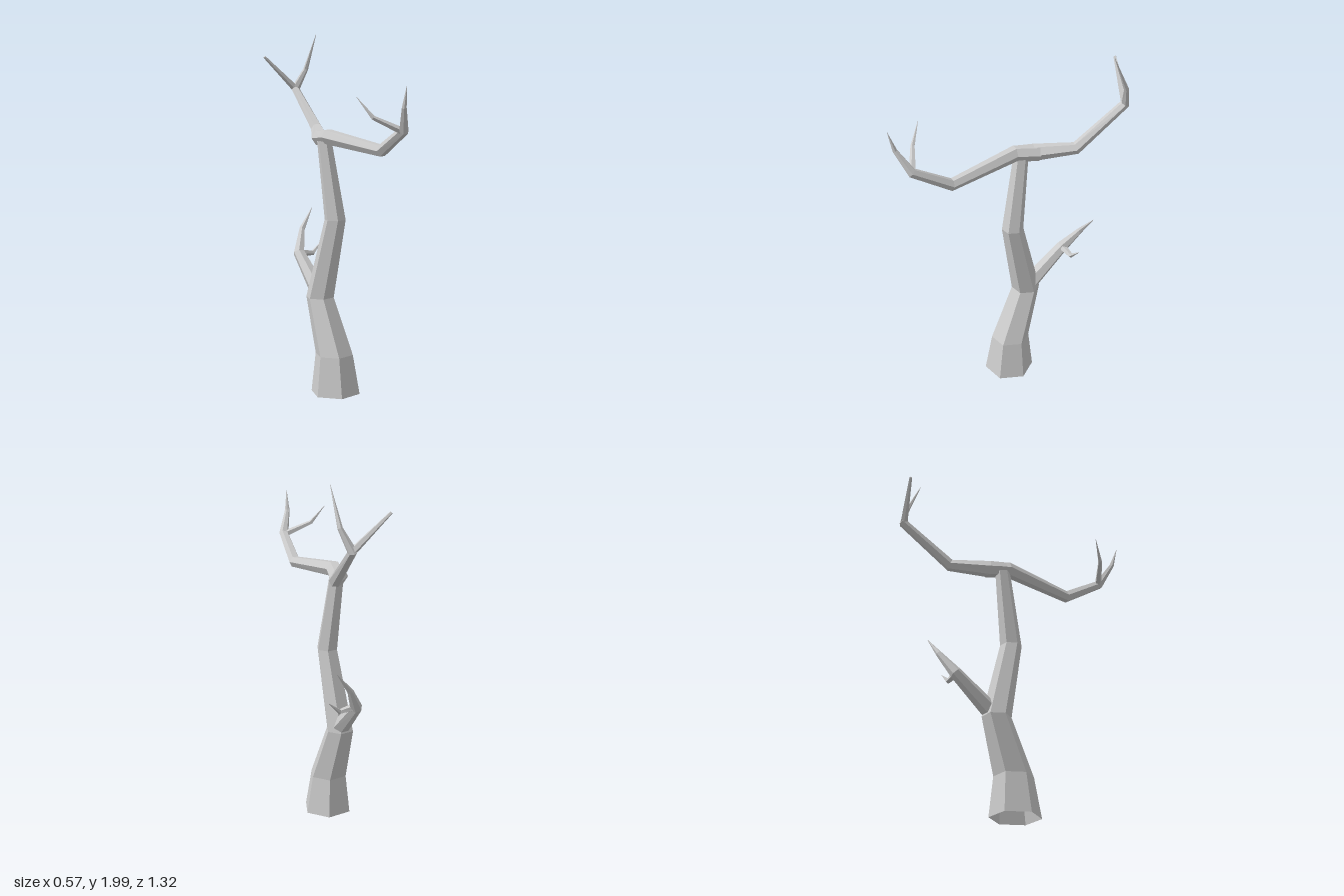
import * as THREE from 'three';

const material = new THREE.MeshStandardMaterial({ color: 0xcccccc, flatShading: true, side: THREE.DoubleSide });

// Faceted tapering limb. Each node is [x, y, z, radius]; fixedAxis keeps every ring parallel.
function limb(name, nodes, sides, fixedAxis) {
  const points = nodes.map(n => new THREE.Vector3(n[0], n[1], n[2]));
  const last = points.length - 1;
  const side = new THREE.Vector3(1, 0, 0);
  const previous = new THREE.Vector3();
  const rings = points.map((p, i) => {
    const incoming = p.clone().sub(points[Math.max(i - 1, 0)]).normalize();
    const outgoing = points[Math.min(i + 1, last)].clone().sub(p).normalize();
    const tangent = fixedAxis ? fixedAxis.clone() : incoming.add(outgoing).normalize();
    // Carry the frame along the path without twisting
    if (i > 0) side.applyQuaternion(new THREE.Quaternion().setFromUnitVectors(previous, tangent));
    side.addScaledVector(tangent, -side.dot(tangent)).normalize();
    previous.copy(tangent);
    const across = tangent.clone().cross(side);
    return Array.from({ length: sides }, (_, k) => {
      const a = (k / sides) * Math.PI * 2;
      return p.clone()
        .addScaledVector(side, Math.cos(a) * nodes[i][3])
        .addScaledVector(across, Math.sin(a) * nodes[i][3]);
    });
  });

  const positions = rings.flat().flatMap(v => v.toArray());
  const index = [];
  for (let i = 0; i < last; i++) {
    for (let k = 0; k < sides; k++) {
      const a = i * sides + k;
      const b = i * sides + (k + 1) % sides;
      index.push(a, b, b + sides, a, b + sides, a + sides);
    }
  }
  // Close the far end
  for (let k = 1; k < sides - 1; k++) index.push(last * sides, last * sides + k, last * sides + k + 1);

  const geometry = new THREE.BufferGeometry();
  geometry.setAttribute('position', new THREE.Float32BufferAttribute(positions, 3));
  geometry.setIndex(index);
  geometry.computeVertexNormals();
  const mesh = new THREE.Mesh(geometry, material);
  mesh.name = name;
  return mesh;
}

export function createModel() {
  const tree = new THREE.Group();
  tree.name = 'bareTree';

  // Leaning trunk, open underneath
  tree.add(limb('trunk', [
    [-0.03, 0, 0.01, 0.14],
    [-0.03, 0.22, 0, 0.108],
    [-0.03, 0.53, -0.113, 0.08],
    [-0.015, 0.98, -0.007, 0.06],
    [-0.03, 1.41, -0.075, 0.042],
  ], 6, new THREE.Vector3(0, 1, 0)));

  // Long limb sweeping forward, bending up to a point
  tree.add(limb('frontLimb', [
    [0.02, 1.425, -0.16, 0.045],
    [-0.036, 1.438, -0.04, 0.044],
    [-0.048, 1.39, 0.37, 0.034],
    [-0.105, 1.51, 0.575, 0.027],
    [-0.165, 1.63, 0.63, 0.014],
    [-0.18, 1.74, 0.66, 0.001],
  ], 6));

  // Limb rising to the back
  tree.add(limb('backLimb', [
    [-0.036, 1.435, -0.06, 0.04],
    [-0.002, 1.425, -0.14, 0.047],
    [0.145, 1.457, -0.315, 0.034],
    [0.228, 1.675, -0.582, 0.026],
    [0.273, 1.79, -0.54, 0.014],
    [0.27, 1.99, -0.45, 0.001],
  ], 6));

  // Lower branch on the back of the trunk
  tree.add(limb('lowerBranch', [
    [-0.02, 0.55, -0.13, 0.05],
    [0.025, 0.745, -0.342, 0.034],
    [0.105, 0.87, -0.4, 0.017],
    [0.2, 0.985, -0.415, 0.001],
  ], 6));

  // Side twigs
  tree.add(limb('frontTwig', [
    [-0.105, 1.505, 0.57, 0.02],
    [-0.232, 1.577, 0.48, 0.012],
    [-0.28, 1.68, 0.41, 0.001],
  ], 5));
  tree.add(limb('backTwig', [
    [0.228, 1.675, -0.58, 0.021],
    [0.05, 1.863, -0.655, 0.008],
  ], 5));
  tree.add(limb('lowerTwig', [
    [0.025, 0.745, -0.335, 0.024],
    [0.12, 0.735, -0.325, 0.014],
    [0.19, 0.795, -0.325, 0.001],
  ], 5));

  return tree;
}
